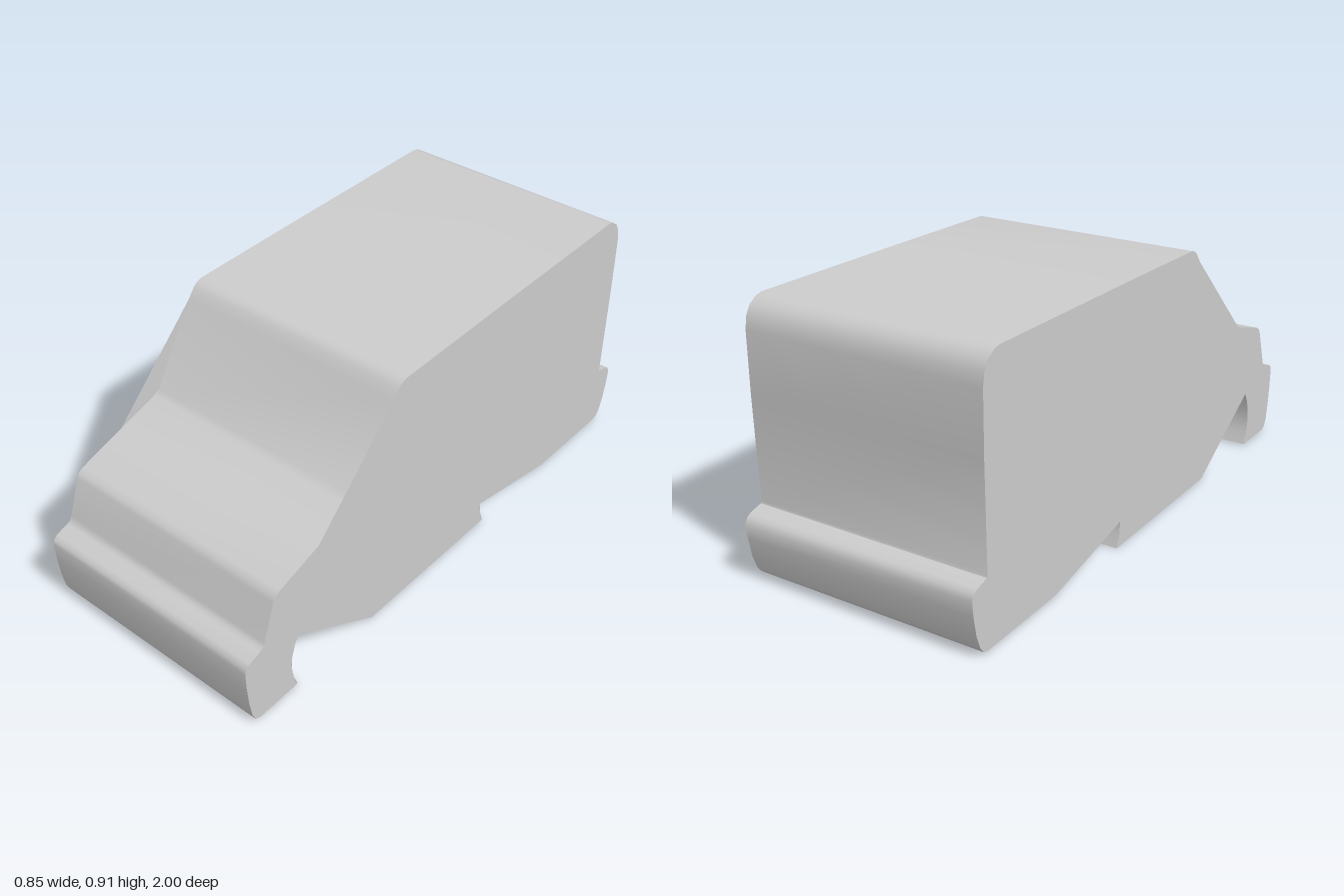
import * as THREE from 'three';
import { toCreasedNormals } from 'three/addons/utils/BufferGeometryUtils.js';

const HALF_WIDTH = 0.425;

// Wheel arch as [z, y] points, swept over the top from rear to front (degrees)
function arch(cz, cy, r, from, to, steps) {
  const pts = [];
  for (let i = 0; i <= steps; i++) {
    const a = THREE.MathUtils.degToRad(from + (to - from) * i / steps);
    pts.push([cz + r * Math.cos(a), cy + r * Math.sin(a)]);
  }
  return pts;
}

// Nose, from the lower bumper up to the bonnet
const nose = [
  [0.95, 0.003], [0.97, 0.012], [0.982, 0.04], [0.992, 0.1], [0.998, 0.17], [1, 0.235],
  [0.996, 0.252], [0.98, 0.265], [0.935, 0.278], [0.922, 0.286], [0.915, 0.3],
  [0.87, 0.43], [0.86, 0.446], [0.84, 0.458], [0.67, 0.51],
];
const windscreen = [[0.52, 0.556], [0.495, 0.57]];
// Roof, tail and rear bumper
const roofAndTail = [
  [0.33, 0.84], [0.305, 0.872], [0.29, 0.885], [0.27, 0.892], [-0.2, 0.9],
  [-0.855, 0.908], [-0.88, 0.902], [-0.908, 0.882], [-0.925, 0.852], [-0.932, 0.81],
  [-0.932, 0.6], [-0.925, 0.25], [-0.928, 0.242], [-0.975, 0.23], [-0.99, 0.22], [-1, 0.2],
  [-0.995, 0.15], [-0.982, 0.08], [-0.965, 0.035], [-0.95, 0.015], [-0.93, 0.008],
];

// Shell: the cross-section swept straight across the width
function shellGeometry(outline) {
  const pos = [];
  outline.forEach(([z1, y1], i) => {
    const [z2, y2] = outline[(i + 1) % outline.length];
    const a = [-HALF_WIDTH, y1, z1], b = [HALF_WIDTH, y1, z1];
    const c = [HALF_WIDTH, y2, z2], d = [-HALF_WIDTH, y2, z2];
    pos.push(...a, ...b, ...c, ...a, ...c, ...d);
  });
  const geo = new THREE.BufferGeometry();
  geo.setAttribute('position', new THREE.Float32BufferAttribute(pos, 3));
  return toCreasedNormals(geo, 0.8);
}

export function createModel() {
  const group = new THREE.Group();
  group.name = 'van';
  const material = new THREE.MeshStandardMaterial({ color: 0xcccccc, side: THREE.DoubleSide });

  const rearArch = arch(-0.38, 0.09, 0.205, 203, -26, 18);
  const frontArch = arch(0.6, 0.1, 0.205, 208, -28, 18);

  const shell = new THREE.Mesh(
    shellGeometry([...nose, ...windscreen, ...roofAndTail, ...rearArch, ...frontArch]), material);
  shell.name = 'bodyShell';
  group.add(shell);

  // Side panels span the arches and the windscreen bend with straight edges
  const sideOutline = [
    ...nose, ...roofAndTail,
    rearArch[0], ...arch(-0.38, 0.09, 0.205, 0, -26, 4),
    frontArch[0], ...arch(0.6, 0.1, 0.205, 34, -28, 8),
  ];
  const panel = new THREE.ShapeGeometry(
    new THREE.Shape(sideOutline.map(([z, y]) => new THREE.Vector2(z, y))));
  for (const side of [-1, 1]) {
    const geo = panel.clone();
    // Mirror the section for the left side so that both panels face outward
    if (side > 0) {
      geo.scale(-1, 1, 1);
      const idx = geo.index;
      for (let i = 0; i < idx.count; i += 3) {
        const t = idx.getX(i);
        idx.setX(i, idx.getX(i + 1));
        idx.setX(i + 1, t);
      }
    }
    geo.rotateY(side * Math.PI / 2);
    const mesh = new THREE.Mesh(geo, material);
    mesh.position.x = side * HALF_WIDTH;
    mesh.name = side > 0 ? 'leftSidePanel' : 'rightSidePanel';
    group.add(mesh);
  }
  return group;
}
